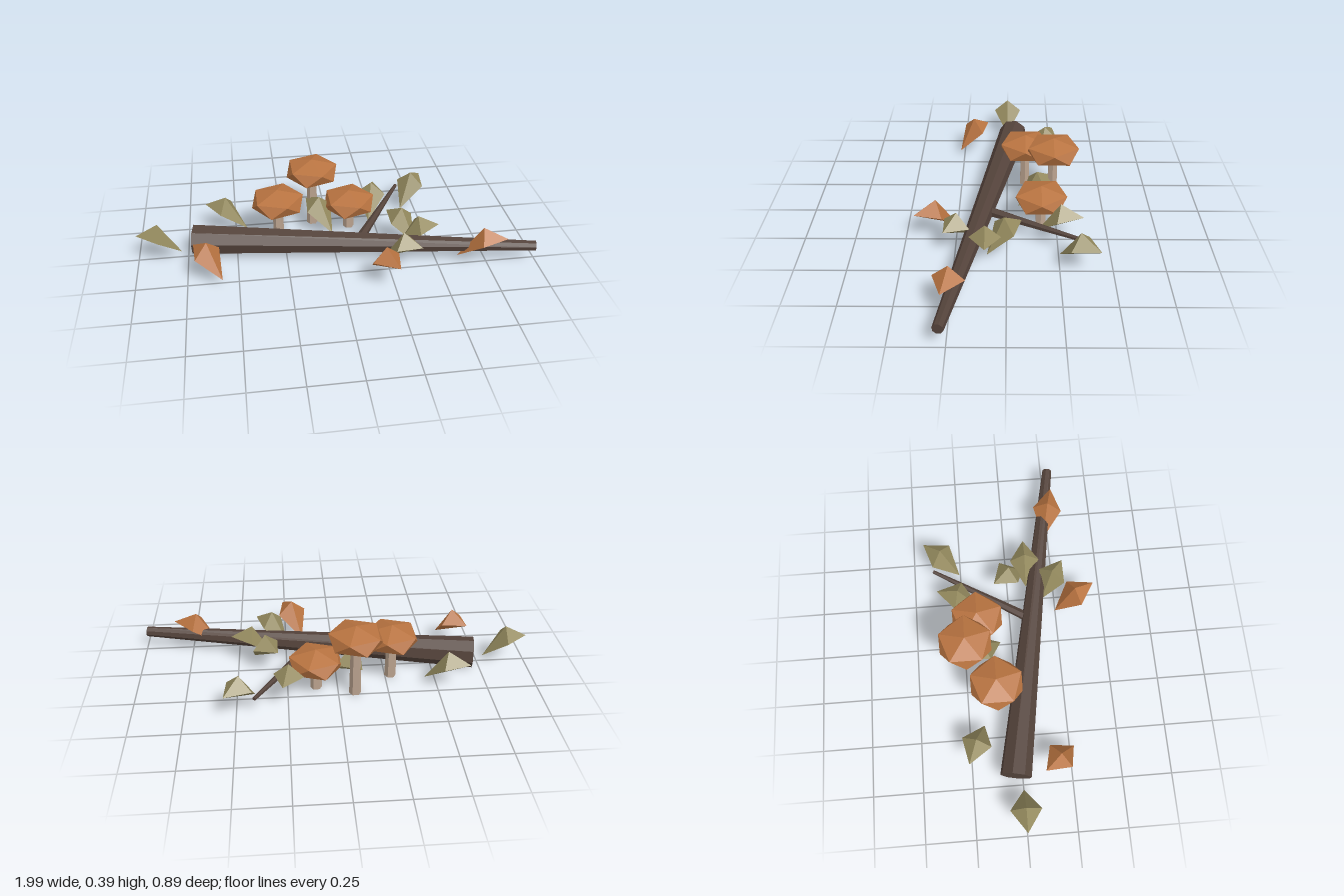
import * as THREE from 'three';
import { ConvexGeometry } from 'three/addons/geometries/ConvexGeometry.js';

const V = (x, y, z) => new THREE.Vector3(x, y, z);

function paint(name, color) {
  const m = new THREE.MeshStandardMaterial({ color, flatShading: true });
  m.name = name;
  return m;
}

function add(parent, name, geometry, material) {
  const mesh = new THREE.Mesh(geometry, material);
  mesh.name = name;
  parent.add(mesh);
  return mesh;
}

// Tapered limb running between two points
function limb(parent, name, from, to, r0, r1, sides, material) {
  const dir = to.clone().sub(from);
  const geo = new THREE.CylinderGeometry(r1, r0, dir.length(), sides);
  geo.rotateY(Math.PI / sides);
  const mesh = add(parent, name, geo, material);
  mesh.position.copy(from).add(to).multiplyScalar(0.5);
  mesh.quaternion.setFromUnitVectors(V(0, 1, 0), dir.normalize());
  return mesh;
}

export function createModel() {
  const root = new THREE.Group();
  root.name = 'forestFloorLog';
  const bark = paint('bark', 0x54433b);
  const cap = paint('mushroomCap', 0xb87340);
  const stem = paint('mushroomStem', 0xbaa28e);
  const olive = paint('oliveLeaf', 0x948a5e);
  const rust = paint('rustLeaf', 0xb87340);

  // Fallen log with one side twig
  limb(root, 'log', V(-0.715, 0.079, -0.035), V(0.99, 0.093, 0.28), 0.08, 0.026, 8, bark);
  limb(root, 'twig', V(0.12, 0.08, 0.09), V(0.41, 0.103, -0.39), 0.025, 0.009, 6, bark);

  // Mushrooms: flattened point-up icosahedron caps on short stems
  const capGeo = new THREE.IcosahedronGeometry(1, 0);
  capGeo.rotateX(-Math.atan((1 + Math.sqrt(5)) / 2)).rotateY(Math.PI / 2);
  capGeo.scale(0.148, 0.067, 0.15);
  for (const [x, y, z] of [[-0.083, 0.321, -0.236], [-0.277, 0.233, -0.097], [0.107, 0.156, -0.172]]) {
    const mushroom = new THREE.Group();
    mushroom.name = 'mushroom';
    mushroom.position.set(x, 0, z);
    root.add(mushroom);
    add(mushroom, 'cap', capGeo, cap).position.y = y;
    limb(mushroom, 'stem', V(0, 0.003, 0), V(0, y - 0.02, 0), 0.03, 0.024, 6, stem);
  }

  // Folded leaves: raised centre, broad sides, drooping tip
  const leafGeo = new ConvexGeometry([
    V(0.116, 0.147, 0), V(0, 0.206, 0), V(-0.113, 0.033, 0), V(0, 0.14, 0.077), V(0, 0.14, -0.077),
  ]);
  // x, z, heading x, heading z, stretch
  const leaf = (name, mat) => ([x, z, dx, dz, s = 1]) => {
    const mesh = add(root, name, leafGeo, mat);
    mesh.position.set(x, 0, z);
    mesh.rotation.y = Math.atan2(-dz, dx);
    mesh.scale.x = s;
  };
  [
    [-0.888, 0, -1, 0, 0.96],
    [-0.545, -0.215, -20, -8],
    [0.48, -0.343, 14, -18],
    [0.243, -0.263, 6, -22],
    [-0.055, -0.155, -11, -18],
    [0.355, 0.012, -6, -8, 0.9],
    [0.318, 0.24, 14, 10, 0.9],
    [0.422, 0.102, 1, 0, 0.95],
  ].forEach(leaf('oliveLeaf', olive));
  [
    [-0.645, 0.193, -6, -7, 0.9],
    [0.21, 0.348, 8, 17],
    [0.72, 0.253, 21, 5, 1.08],
  ].forEach(leaf('rustLeaf', rust));

  return root;
}
